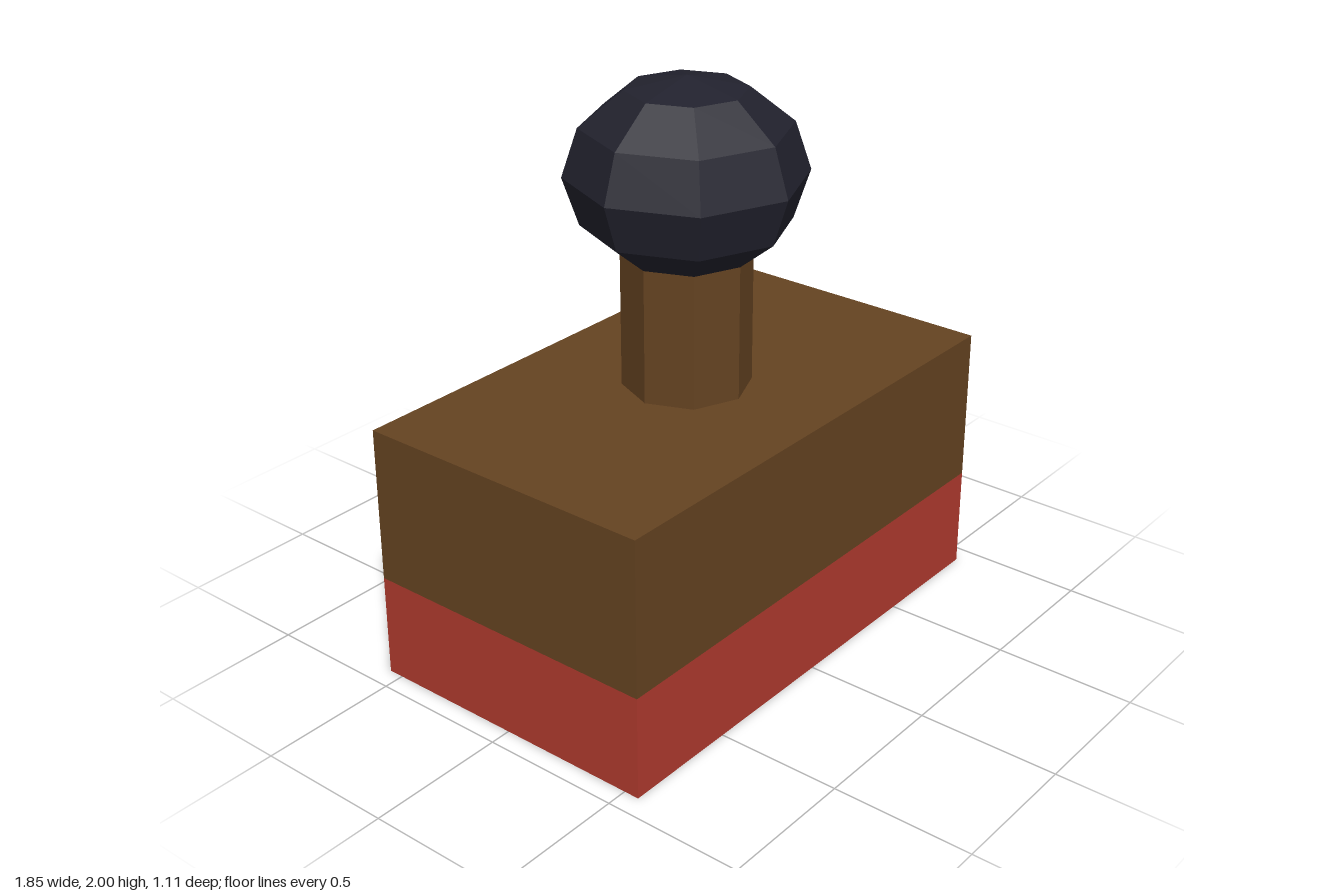
import * as THREE from 'three';

const material = (name, color, flat = true) => {
  const m = new THREE.MeshStandardMaterial({ color, flatShading: flat });
  m.name = name;
  return m;
};

export function createModel() {
  const group = new THREE.Group();
  group.name = 'handStamp';
  const wood = material('brown wood', 0x654321);
  const rubber = material('red rubber', 0xb03a2e);
  const dark = material('dark knob', 0x22222e);

  const add = (name, geometry, mat, y) => {
    const mesh = new THREE.Mesh(geometry, mat);
    mesh.name = name;
    mesh.position.y = y;
    group.add(mesh);
    return mesh;
  };

  // Two-layer block: rubber pad below, wooden body above
  add('rubberPad', new THREE.BoxGeometry(1.85, 0.37, 1.11), rubber, 0.185);
  add('woodBlock', new THREE.BoxGeometry(1.85, 0.555, 1.11), wood, 0.6475);

  // Octagonal handle post
  add('handlePost', new THREE.CylinderGeometry(0.222, 0.222, 0.52, 8), wood, 1.185);

  // Faceted, slightly flattened knob
  const knob = add('knob', new THREE.SphereGeometry(0.407, 8, 6), dark, 1.67);
  knob.scale.y = 0.33 / 0.407;

  return group;
}
